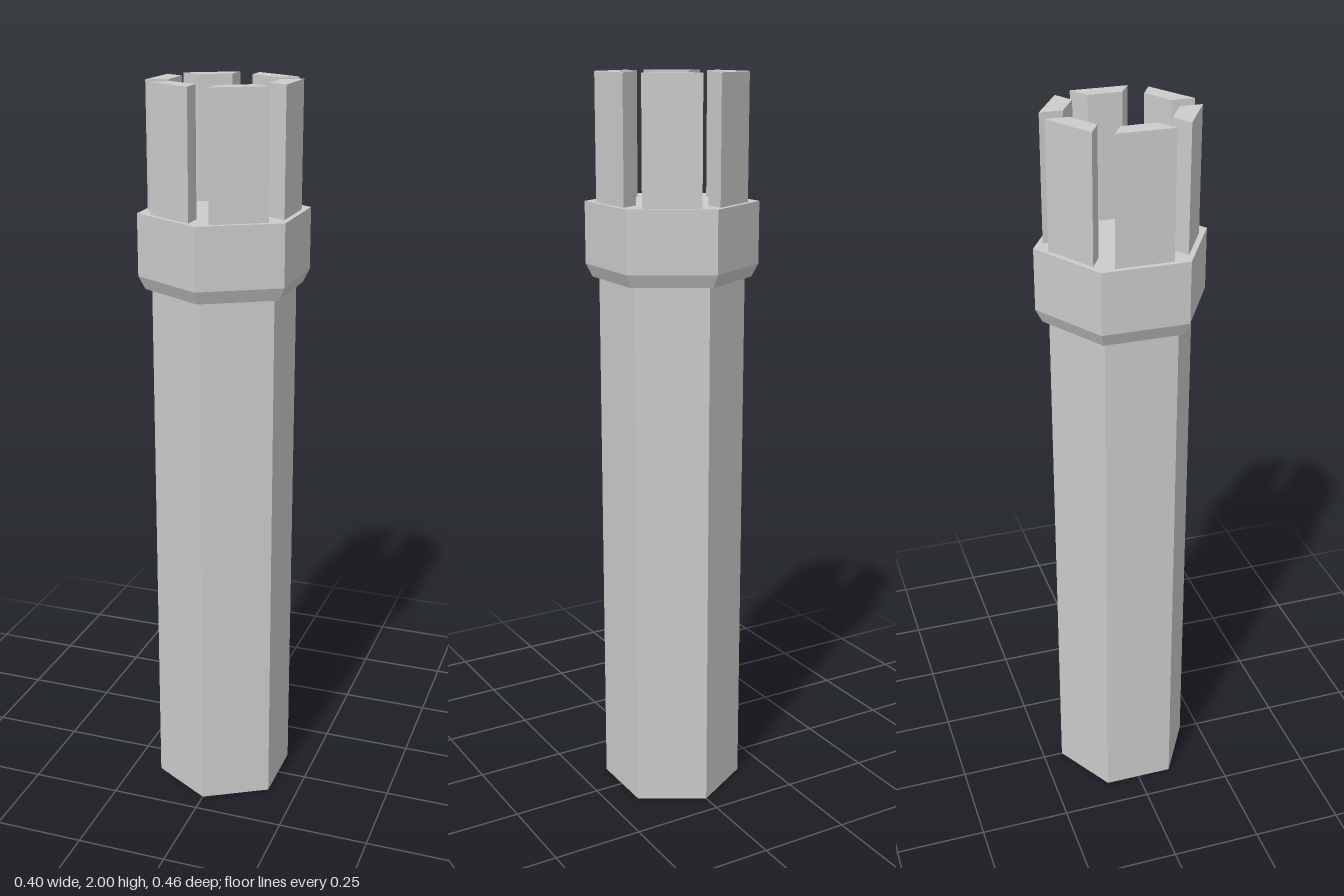
import * as THREE from 'three';

export function createModel() {
  const model = new THREE.Group();
  const material = new THREE.MeshStandardMaterial({ color: 0xcccccc, flatShading: true });
  const add = (name, geometry) => {
    const mesh = new THREE.Mesh(geometry, material);
    mesh.name = name;
    model.add(mesh);
    return mesh;
  };
  const points = (list) => list.map(([x, y]) => new THREE.Vector2(x, y));

  const collarBottom = 1.47, collarTop = 1.67, top = 2;

  // Long hexagonal shaft, corners pointing front and back
  add('shaft', new THREE.CylinderGeometry(0.194, 0.194, collarBottom, 6))
    .position.y = collarBottom / 2;

  // Wider hexagonal collar with a chamfered lower edge
  add('collar', new THREE.LatheGeometry(points([
    [0, collarBottom], [0.212, collarBottom], [0.23, 1.505], [0.23, collarTop], [0, collarTop],
  ]), 6));

  // Six upright prongs, one along each side of the collar
  const prongShape = new THREE.Shape(points([
    [0.133, -0.045], [0.185, -0.076], [0.185, 0.076], [0.133, 0.045],
  ]));
  const prong = new THREE.ExtrudeGeometry(prongShape, { depth: top - collarTop, bevelEnabled: false });
  prong.rotateX(-Math.PI / 2);
  for (let i = 0; i < 6; i++) {
    const mesh = add(`prong${i + 1}`, prong);
    mesh.position.y = collarTop;
    mesh.rotation.y = i * Math.PI / 3;
  }

  return model;
}
